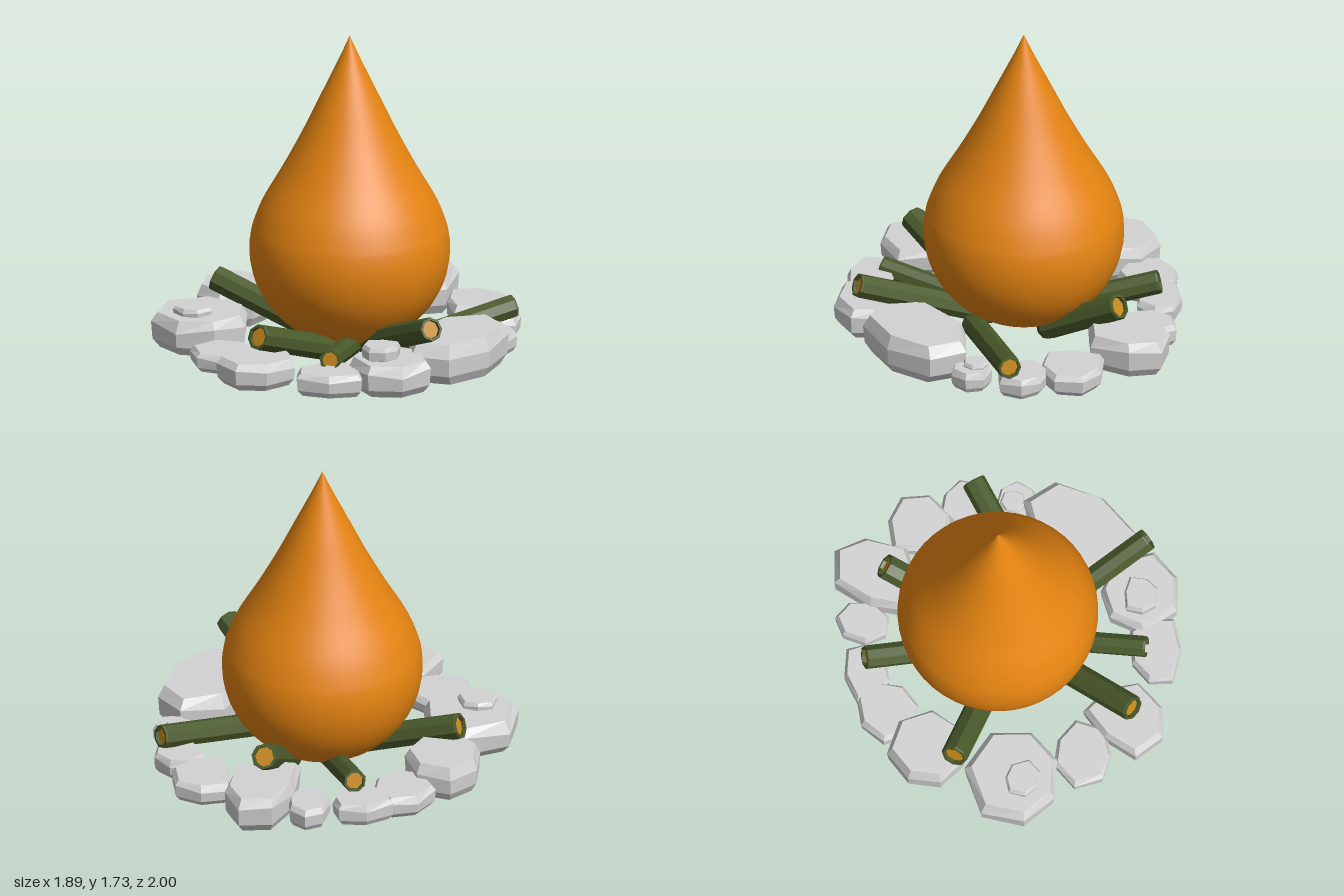
import * as THREE from 'three';

const flameMat = new THREE.MeshStandardMaterial({ color: 0xe58411 });
flameMat.name = 'flame orange';
const barkMat = new THREE.MeshStandardMaterial({ color: 0x4a5a2b, flatShading: true });
barkMat.name = 'bark green';
const woodMat = new THREE.MeshStandardMaterial({ color: 0xc8891a, flatShading: true });
woodMat.name = 'cut wood';
const stoneMat = new THREE.MeshStandardMaterial({ color: 0xd3d3d3, flatShading: true });
stoneMat.name = 'stone grey';

// Teardrop: round belly, tapering shoulder, pointed tip
function makeFlame() {
  const pts = [];
  for (let i = 0; i <= 16; i++) {
    const a = -Math.PI / 2 + (i / 16) * (Math.PI / 2 + 0.2);
    pts.push(new THREE.Vector2(Math.max(0, Math.cos(a) * 0.535), 0.545 + Math.sin(a) * 0.52));
  }
  const shoulder = new THREE.SplineCurve([
    [0.525, 0.65], [0.468, 0.8], [0.355, 1.0], [0.25, 1.2], [0.155, 1.4], [0.06, 1.6], [0, 1.735],
  ].map(([x, y]) => new THREE.Vector2(x, y)));
  pts.push(...shoulder.getPoints(24).slice(1));
  const flame = new THREE.Mesh(new THREE.LatheGeometry(pts, 48), flameMat);
  flame.name = 'flame';
  flame.position.set(0.025, 0, -0.02);
  return flame;
}

// Eight-sided log with a recessed cut face, running from the pit to its outer end
function makeLog(start, end, r) {
  const a = new THREE.Vector3(...start), b = new THREE.Vector3(...end);
  const len = a.distanceTo(b);
  const profile = [[0, 0], [r * 0.85, 0], [r, 0.03], [r, len - 0.01], [r * 0.95, len], [r * 0.76, len], [r * 0.72, len - 0.03]];
  const bark = new THREE.Mesh(
    new THREE.LatheGeometry(profile.map(([x, y]) => new THREE.Vector2(x, y)), 8), barkMat);
  bark.name = 'bark';
  const cut = new THREE.Mesh(new THREE.CircleGeometry(r * 0.78, 8).rotateX(-Math.PI / 2), woodMat);
  cut.name = 'cutFace';
  cut.position.y = len - 0.02;
  const log = new THREE.Group();
  log.name = 'log';
  log.add(bark, cut);
  log.position.copy(a);
  log.quaternion.setFromUnitVectors(new THREE.Vector3(0, 1, 0), b.sub(a).normalize());
  return log;
}

// Faceted stone: an uneven seven-sided outline, turned to face the fire,
// lofted through chamfered layers and closed at top and bottom
function makeStone(name, seed, x, z, halfWidth, halfDepth, y0, y1) {
  const n = 7, turn = Math.atan2(z, x);
  const outline = Array.from({ length: n }, (_, i) => {
    const a = (-i / n) * Math.PI * 2;
    const q = 1 + 0.13 * Math.sin(i * (2.7 + seed));
    return new THREE.Vector2(Math.cos(a) * q * halfDepth, Math.sin(a) * q * halfWidth * 1.06)
      .rotateAround(new THREE.Vector2(), turn);
  });
  const layers = [[0, 0], [0.82, 0], [0.97, 0.25], [1, 0.72], [0.87, 1], [0, 1]];
  const pos = [], index = [];
  layers.forEach(([s, t], k) => outline.forEach((p, i) => {
    const wobble = k === 3 ? 0.08 * Math.sin(i * 2.4 + seed) : 0;
    pos.push(x + p.x * s, y0 + (y1 - y0) * (t + wobble), z + p.y * s);
  }));
  for (let k = 0; k < layers.length - 1; k++) {
    for (let i = 0; i < n; i++) {
      const a = k * n + i, b = k * n + (i + 1) % n;
      if (k > 0) index.push(a, b, b + n);
      if (k < layers.length - 2) index.push(a, b + n, a + n);
    }
  }
  const geo = new THREE.BufferGeometry();
  geo.setAttribute('position', new THREE.Float32BufferAttribute(pos, 3));
  geo.setIndex(index);
  geo.computeVertexNormals();
  const stone = new THREE.Mesh(geo, stoneMat);
  stone.name = name;
  return stone;
}

export function createModel() {
  const model = new THREE.Group();
  model.name = 'campfire';
  model.add(makeFlame());

  // Logs: inner end, outer end, radius
  const logs = [
    [[0.3, 0.06, 0.13], [0.8, 0.19, -0.43], 0.065],
    [[0.15, 0.06, 0.09], [0.74, 0.36, 0.575], 0.066],
    [[0.14, 0.06, -0.22], [0.14, 0.335, -0.7], 0.072],
    [[0, 0.06, -0.08], [-0.35, 0.235, -0.64], 0.064],
    [[-0.1, 0.06, 0.03], [-0.74, 0.285, 0], 0.072],
    [[0.03, 0.06, 0.24], [-0.165, 0.275, 0.81], 0.07],
    [[0.1, 0.06, 0.1], [0.225, 0.175, 0.75], 0.058],
  ];
  for (const log of logs) model.add(makeLog(...log));

  // Ring of stones: x, z, half width, half depth, top height
  const stones = [
    [0.14, -0.74, 0.18, 0.265, 0.22],
    [0.5, -0.63, 0.17, 0.18, 0.14],
    [0.7, -0.44, 0.14, 0.13, 0.13],
    [0.79, -0.19, 0.11, 0.12, 0.13],
    [0.74, 0.2, 0.3, 0.21, 0.24],
    [0.51, 0.6, 0.19, 0.23, 0.19],
    [0.25, 0.79, 0.19, 0.14, 0.14],
    [-0.17, 0.78, 0.18, 0.22, 0.165],
    [-0.43, 0.62, 0.16, 0.18, 0.12],
    [-0.68, 0.34, 0.24, 0.27, 0.21],
    [-0.7, -0.16, 0.19, 0.2, 0.22],
    [-0.54, -0.44, 0.16, 0.17, 0.14],
    [-0.38, -0.62, 0.17, 0.12, 0.14],
    [-0.12, -0.73, 0.11, 0.15, 0.14],
  ];
  stones.forEach(([x, z, w, d, top], i) => model.add(makeStone('stone', i, x, z, w, d, 0.015, top)));

  // Pebbles resting on the larger stones
  model.add(makeStone('pebble', 1, 0.47, 0.63, 0.1, 0.1, 0.17, 0.26));
  model.add(makeStone('pebble', 2, -0.72, 0.38, 0.1, 0.1, 0.18, 0.25));
  model.add(makeStone('pebble', 4, 0.78, -0.2, 0.06, 0.06, 0.1, 0.155));
  return model;
}
